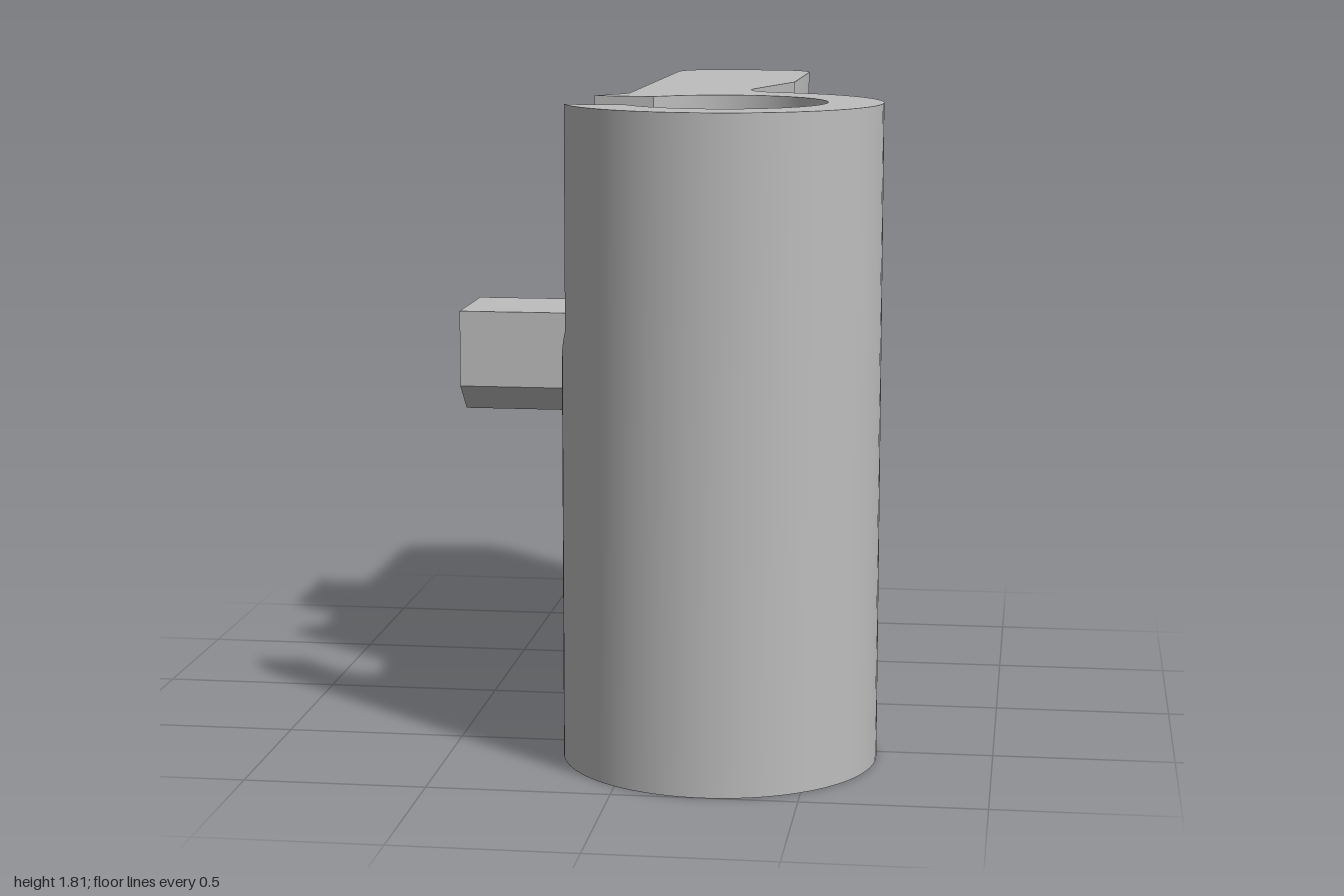
import * as THREE from 'three';
import { toCreasedNormals } from 'three/addons/utils/BufferGeometryUtils.js';

const V = (x, y, z) => new THREE.Vector3(x, y, z);
const H = 1.81, CX = 0.245, CZ = 0.565, R = 0.435;   // height, barrel centre, barrel radius
const NECK = 0.14, BORE = 0.285, SOCKET = 0.257;     // bore radii
const NECK_Y = 1.03, CONE_Y = 1.2, SOCKET_Y = 0.28;  // bore levels

// Collects triangles from bands between rows of points and from flat caps
class Skin {
  constructor() { this.p = []; }
  tri(...v) { v.forEach(q => this.p.push(q.x, q.y, q.z)); }
  band(a, b, closed = false) {
    const n = a.length;
    for (let i = 0; i < (closed ? n : n - 1); i++) {
      const j = (i + 1) % n;
      if (a[i].distanceTo(a[j]) > 1e-6) this.tri(a[i], a[j], b[j]);
      if (b[i].distanceTo(b[j]) > 1e-6) this.tri(a[i], b[j], b[i]);
    }
  }
  cap(contour, holes, up) {
    const flat = l => l.map(q => new THREE.Vector2(q.x, -q.z));
    const all = [contour, ...holes].flat();
    const n = V(0, 0, 0);
    THREE.ShapeUtils.triangulateShape(flat(contour), holes.map(flat)).forEach(f => {
      const [a, b, c] = f.map(i => all[i]);
      n.crossVectors(b.clone().sub(a), c.clone().sub(a));
      if ((n.y > 0) === up) this.tri(a, b, c); else this.tri(a, c, b);
    });
  }
  mesh(name, material) {
    const g = new THREE.BufferGeometry();
    g.setAttribute('position', new THREE.Float32BufferAttribute(this.p, 3));
    const m = new THREE.Mesh(toCreasedNormals(g, 0.5), material);
    m.name = name;
    return m;
  }
}

// Arc about the barrel axis; the angle starts at -x and turns towards +z
const arc = (r, from, to, n) => Array.from({ length: n + 1 }, (_, i) => {
  const a = from + (to - from) * i / n;
  return V(CX - r * Math.cos(a), 0, CZ + r * Math.sin(a));
});
const at = (row, y) => row.map(q => V(q.x, y, q.z));

function makeBody(material) {
  const s = new Skin();

  // Slot floor: a V across the barrel wall, meeting the funnel on its inner edge
  const floorOut = [], floorIn = [], N = 24, valley = 0.56;
  for (let i = 0; i <= N; i++) {
    const t = i / N;
    const k = t < valley ? 1 - t / valley : (t - valley) / (1 - valley);
    const y = NECK_Y + (CONE_Y - NECK_Y) * k;
    const r = NECK + (BORE - NECK) * k;
    const zo = -0.21 + 0.365 * t, zi = -0.19 + 0.345 * t;
    floorOut.push(V(CX - Math.sqrt(R * R - zo * zo), y, CZ + zo));
    floorIn.push(V(CX - Math.sqrt(r * r - zi * zi), y, CZ + zi));
  }
  const angle = q => Math.atan2(q.z - CZ, CX - q.x);
  const a0 = angle(floorOut[0]), a1 = angle(floorOut[N]);
  const b0 = angle(floorIn[0]), b1 = angle(floorIn[N]);

  // Outline: barrel, neck fillet, tapered flange with rounded end
  const path = new THREE.Path();
  path.moveTo(0.37, 0.149);
  path.bezierCurveTo(0.29, 0.125, 0.255, 0.058, 0.275, -0.02);
  path.lineTo(0.36, -0.36);
  path.lineTo(0.36, -0.88);
  path.absarc(0.24, -0.88, 0.12, 0, -Math.PI / 2, true);
  path.lineTo(0.065, -1);
  path.absarc(0.065, -0.88, 0.12, -Math.PI / 2, -Math.PI, true);
  path.lineTo(-0.055, 0.21);
  path.quadraticCurveTo(-0.055, 0.245, -0.085, 0.28);
  const raw = [
    ...arc(R, a1, 4.415, 60),
    ...path.getPoints(14).map(q => V(q.x, 0, q.y)),
    ...arc(R, -0.714, a0, 5),
  ];
  const outer = raw.filter((q, i) => i === 0 || q.distanceTo(raw[i - 1]) > 0.003);
  outer[outer.length - 1] = V(floorOut[0].x, 0, floorOut[0].z);

  // Outer wall, lowered to the slot floor where the slot cuts it
  s.band(outer, at(outer, H));
  s.band(at(floorOut, 0), floorOut);

  // Slot floor and its two side walls
  s.band(floorOut, floorIn);
  const left = [floorOut[0], floorIn[0]], right = [floorIn[N], floorOut[N]];
  s.band(left, at(left, H));
  s.band(right, at(right, H));

  // Bore: socket, step, neck, funnel, upper bore
  const ring = r => [
    ...arc(r, b1, b0 + 2 * Math.PI, 60),
    ...floorIn.slice(1, N).map(q => {
      const a = angle(q);
      return V(CX - r * Math.cos(a), 0, CZ + r * Math.sin(a));
    }),
  ];
  const socket = ring(SOCKET), neck = ring(NECK);
  const bore = arc(BORE, b1, b0 + 2 * Math.PI, 60);
  s.band(at(socket, SOCKET_Y), socket, true);
  s.band(at(neck, SOCKET_Y), at(socket, SOCKET_Y), true);
  s.band(at(neck, NECK_Y), at(neck, SOCKET_Y), true);
  s.band([...at(bore, CONE_Y), ...floorIn.slice(1, N)], at(neck, NECK_Y), true);
  s.band(at(bore, H), at(bore, CONE_Y));

  // End faces
  s.cap([...at(outer, H), ...at(bore, H).reverse()], [], true);
  s.cap([...outer, ...at(floorOut, 0).slice(1, N)], [socket], false);
  return s.mesh('body', material);
}

// Gabled arm with a sloping brace underneath
function makeArm(material) {
  const s = new Skin();
  const section = (x, low) => [
    V(x, low, -0.515), V(x, low, -0.68), V(x, 1.01, -0.68), V(x, 1.09, -0.6), V(x, 1.01, -0.515),
  ];
  const rows = [section(-0.335, 0.77), section(-0.3, 0.77), section(-0.055, 0.525)];
  for (let i = 0; i < 2; i++) s.band(rows[i], rows[i + 1], true);
  return s.mesh('arm', material);
}

// Block with chamfered lower edges
function makeKnob(material) {
  const w = 0.1675, shape = new THREE.Shape();
  shape.moveTo(-0.07, 0.77);
  [[0.07, 0.77], [w, 0.855], [w, 1.09], [-w, 1.09], [-w, 0.855]].forEach(q => shape.lineTo(...q));
  const g = new THREE.ExtrudeGeometry(shape, { depth: 0.35, bevelEnabled: false });
  g.rotateY(Math.PI / 2).translate(-0.683, 0, -0.5975);
  const m = new THREE.Mesh(g, material);
  m.name = 'knob';
  return m;
}

export function createModel() {
  const grey = new THREE.MeshStandardMaterial({ color: 0xbebebe });
  grey.name = 'light grey';
  const model = new THREE.Group();
  model.name = 'hingeBracket';
  model.add(makeBody(grey), makeArm(grey), makeKnob(grey));
  return model;
}
